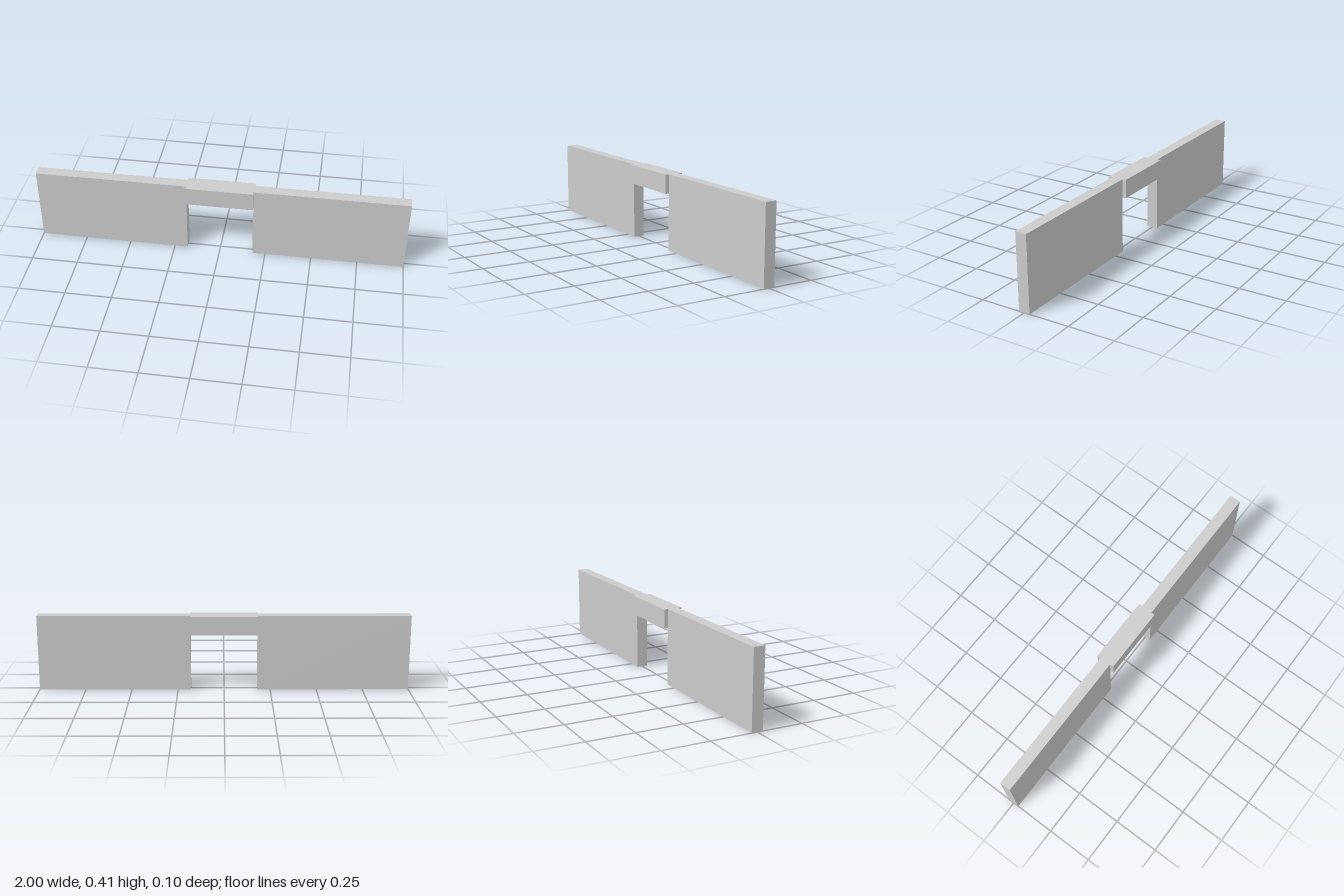
import * as THREE from 'three';

const HEIGHT = 0.41;      // overall height
const HALF_GAP = 0.18;    // half the opening between the panels
const BRIDGE = 0.102;     // bridge height and depth

export function createModel() {
  const model = new THREE.Group();
  model.name = 'bridgedPanels';
  const material = new THREE.MeshStandardMaterial({ color: 0xcccccc });

  // box hung from the common top edge
  const addBox = (name, width, height, depth, x) => {
    const mesh = new THREE.Mesh(new THREE.BoxGeometry(width, height, depth), material);
    mesh.name = name;
    mesh.position.set(x, HEIGHT - height / 2, 0);
    model.add(mesh);
  };

  // mirrored thin panels
  const panelWidth = 1 - HALF_GAP;
  for (const [name, side] of [['leftPanel', 1], ['rightPanel', -1]]) {
    addBox(name, panelWidth, HEIGHT, 0.061, side * (HALF_GAP + panelWidth / 2));
  }

  // thicker bar joining the panels at the top
  addBox('bridge', HALF_GAP * 2, BRIDGE, BRIDGE, 0);

  return model;
}
